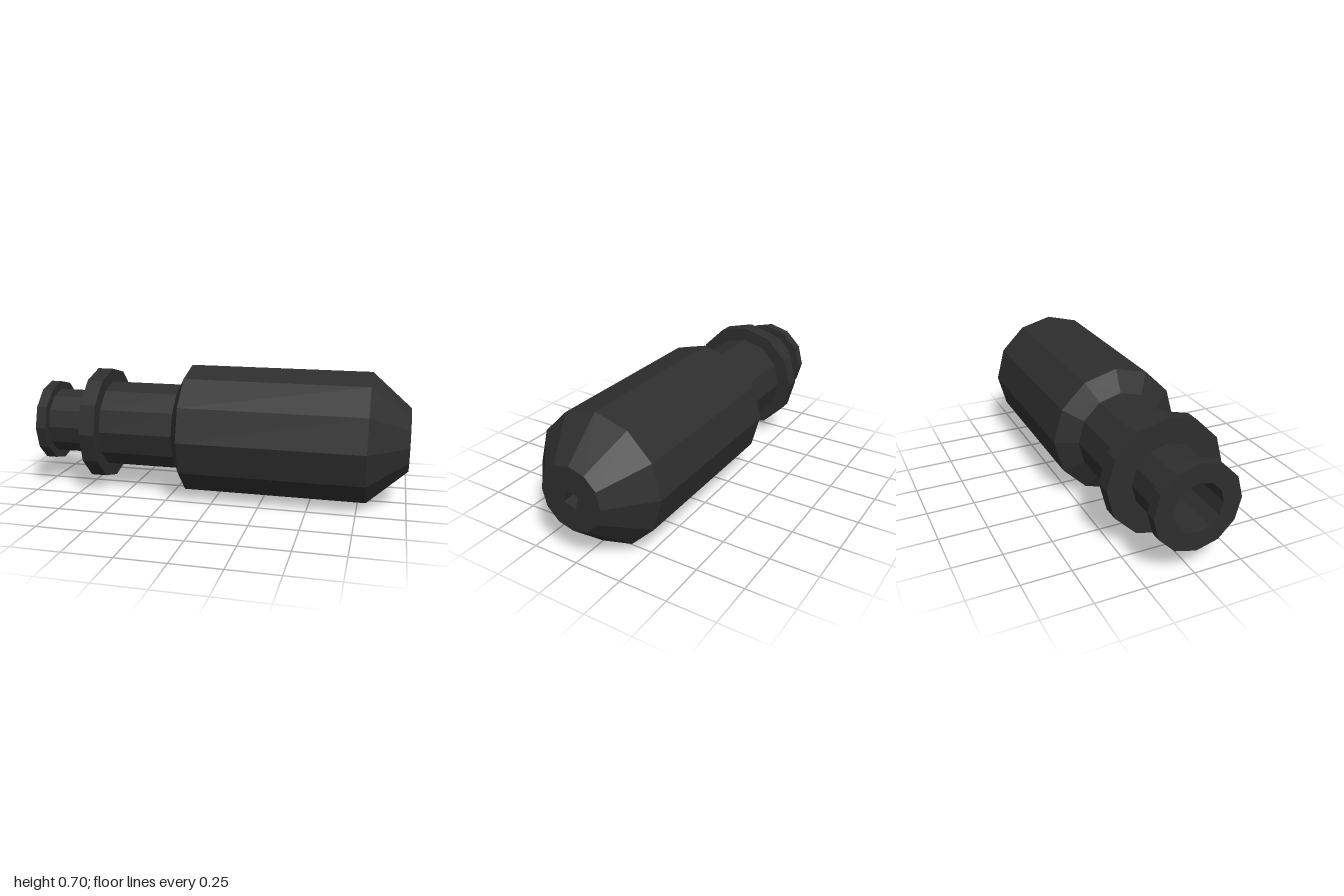
import * as THREE from 'three';

const R = 0.348; // body radius, also the height of the axis

// Turns a profile of [x, radius] points about the long axis, with flat facets
function turned(name, material, profile, sides = 12, start = 0) {
  const points = profile.map(([x, r]) => new THREE.Vector2(r, x));
  const geometry = new THREE.LatheGeometry(points, sides, start).rotateZ(-Math.PI / 2).toNonIndexed();
  geometry.computeVertexNormals();
  const mesh = new THREE.Mesh(geometry, material);
  mesh.name = name;
  return mesh;
}

// Regular polygon outline
function polygon(Type, radius, sides, start) {
  const points = [];
  for (let i = 0; i < sides; i++) {
    const a = start + (i / sides) * Math.PI * 2;
    points.push(new THREE.Vector2(radius * Math.cos(a), radius * Math.sin(a)));
  }
  return new Type(points);
}

export function createModel() {
  const model = new THREE.Group();
  model.name = 'turnedPlug';
  const charcoal = new THREE.MeshStandardMaterial({ color: 0x2e2e2e });
  charcoal.name = 'charcoal';

  // Rear rim with its hollow bore
  model.add(turned('rearRim', charcoal, [
    [-0.62, 0], [-0.62, 0.128], [-1, 0.128], [-1, 0.224], [-0.943, 0.224], [-0.943, 0.18],
  ]));
  // Narrow neck
  model.add(turned('rearNeck', charcoal, [[-0.943, 0.18], [-0.71, 0.18]]));
  // Wide collar
  model.add(turned('collar', charcoal, [
    [-0.71, 0.18], [-0.71, 0.308], [-0.625, 0.308], [-0.625, 0.236],
  ]));
  // Shaft between collar and body
  model.add(turned('shaft', charcoal, [[-0.625, 0.236], [-0.22, 0.236]]));
  // Body with rear chamfer and tapered nose
  model.add(turned('body', charcoal, [
    [-0.22, 0.236], [-0.163, R], [0.797, R], [1, 0.168],
  ]));

  // Nose face with a square opening
  const face = polygon(THREE.Shape, 0.168, 12, 0);
  face.holes.push(polygon(THREE.Path, 0.05, 4, Math.PI / 6));
  const noseFace = new THREE.Mesh(new THREE.ShapeGeometry(face).rotateY(Math.PI / 2), charcoal);
  noseFace.name = 'noseFace';
  noseFace.position.x = 1;
  model.add(noseFace);

  // Square socket sunk into the nose
  model.add(turned('noseSocket', charcoal, [[1, 0.05], [0.92, 0.05], [0.92, 0]], 4, Math.PI / 6));

  model.children.forEach((part) => { part.position.y = R; });
  return model;
}
